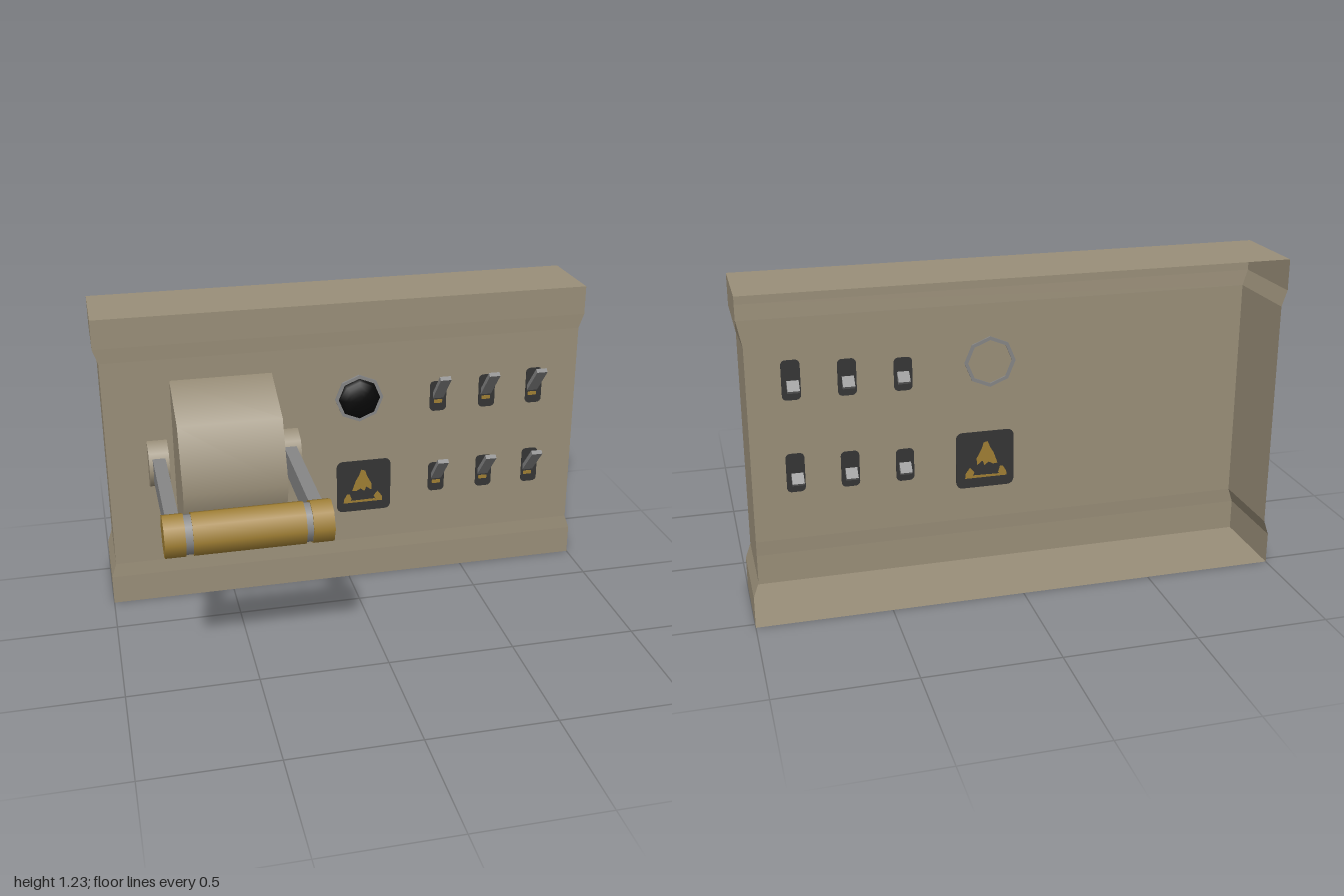
import * as THREE from 'three';

const mat = (name, color, side = THREE.FrontSide) => {
  const m = new THREE.MeshStandardMaterial({ color, side });
  m.name = name;
  return m;
};

export function createModel() {
  const root = new THREE.Group();
  root.name = 'controlPanel';
  const beige = mat('beige', 0x9a8f79, THREE.DoubleSide);
  const gold = mat('gold', 0xa07f34);
  const grey = mat('grey', 0x868686);
  const dark = mat('dark', 0x353535);
  const black = mat('black', 0x080808);

  const add = (name, geo, material, x = 0, y = 0, z = 0, parent = root) => {
    const mesh = new THREE.Mesh(geo, material);
    mesh.name = name;
    mesh.position.set(x, y, z);
    parent.add(mesh);
    return mesh;
  };

  // Open-backed case: rows of [height, half width, front z]
  const rows = [[0, 1, -0.197], [0.12, 1, -0.197], [0.178, 0.98, -0.2],
    [1.048, 0.98, -0.2], [1.108, 1, -0.197], [1.225, 1, -0.197]];
  const back = -0.525;
  const verts = [];
  const quad = (a, b, c, d) => verts.push(...a, ...b, ...c, ...a, ...c, ...d);
  const ring = ([y, w, z]) => [[-w, y, back], [-w, y, z], [w, y, z], [w, y, back]];
  for (let i = 0; i < rows.length - 1; i++) {
    const lo = ring(rows[i]), hi = ring(rows[i + 1]);
    for (let k = 0; k < 3; k++) quad(lo[k], lo[k + 1], hi[k + 1], hi[k]);
  }
  const bottom = ring(rows[0]), top = ring(rows[rows.length - 1]);
  quad(bottom[3], bottom[2], bottom[1], bottom[0]);
  quad(top[0], top[1], top[2], top[3]);
  const caseGeo = new THREE.BufferGeometry();
  caseGeo.setAttribute('position', new THREE.Float32BufferAttribute(verts, 3));
  caseGeo.computeVertexNormals();
  add('case', caseGeo, beige);

  // Half-octagon drums lying along x, bulging towards the front
  const drum = (name, x0, x1, ry, rz) => {
    const geo = new THREE.CylinderGeometry(1, 1, x1 - x0, 4, 1, false, -Math.PI / 2, Math.PI);
    geo.rotateZ(Math.PI / 2).scale(1, ry, rz);
    add(name, geo, beige, (x0 + x1) / 2, 0.614, -0.2);
  };
  drum('leverHousing', -0.715, -0.31, 0.344, 0.333);
  drum('rightPivot', -0.82, -0.74, 0.098, 0.094);
  drum('leftPivot', -0.29, -0.21, 0.098, 0.094);

  // Lever arms and the octagonal grip
  const lever = new THREE.Group();
  lever.name = 'lever';
  root.add(lever);
  for (const x of [-0.78, -0.255]) {
    add('leverArm', new THREE.BoxGeometry(0.05, 0.1, 0.58), grey, x, 0.614, 0.11, lever);
  }
  const bar = (name, x0, x1, r, m) => add(name,
    new THREE.CylinderGeometry(r, r, x1 - x0, 8).rotateZ(Math.PI / 2), m,
    (x0 + x1) / 2, 0.614, 0.447, lever);
  bar('gripEnd', -0.82, -0.745, 0.082, gold);
  bar('grip', -0.718, -0.312, 0.082, gold);
  bar('gripEnd', -0.288, -0.21, 0.082, gold);
  bar('gripCore', -0.76, -0.27, 0.076, grey);

  // Round lamp with its rim
  const lens = new THREE.SphereGeometry(0.088, 8, 6, 0, Math.PI * 2, 0, Math.PI / 2);
  add('lampLens', lens.rotateX(Math.PI / 2).scale(1, 1, 0.5), black, 0.045, 0.82, -0.198);
  const rimProfile = [[0.086, -0.008], [0.1, -0.008], [0.1, 0.008], [0.086, 0.008], [0.086, -0.008]]
    .map(([r, h]) => new THREE.Vector2(r, h));
  const rim = new THREE.LatheGeometry(rimProfile, 8).rotateX(Math.PI / 2).toNonIndexed();
  rim.computeVertexNormals();
  add('lampRim', rim, grey, 0.045, 0.82, -0.198);

  // Thin plates set through the panel, seen from both sides
  const plate = (name, shape, m, x, y, depth, parent = root) => add(name,
    new THREE.ExtrudeGeometry(shape, { depth, bevelEnabled: false, curveSegments: 3 })
      .translate(0, 0, -depth / 2), m, x, y, -0.2, parent);
  const roundedRect = (w, h, r) => {
    const s = new THREE.Shape(), a = w / 2, b = h / 2;
    s.absarc(a - r, b - r, r, 0, Math.PI / 2);
    s.absarc(-a + r, b - r, r, Math.PI / 2, Math.PI);
    s.absarc(-a + r, -b + r, r, Math.PI, Math.PI * 1.5);
    s.absarc(a - r, -b + r, r, Math.PI * 1.5, Math.PI * 2);
    return s;
  };
  const poly = (pts) => new THREE.Shape(pts.map(([x, y]) => new THREE.Vector2(x, y)));

  // Warning sign with a flame and hazard base marks
  plate('signPlate', roundedRect(0.23, 0.23, 0.025), dark, 0.065, 0.425, 0.006);
  const marks = [
    [[-0.048, -0.02], [-0.03, -0.022], [-0.012, -0.012], [0.005, -0.025], [0.012, -0.005],
      [0.034, -0.022], [0.036, 0.005], [0.015, 0.045], [0.008, 0.068], [-0.008, 0.074],
      [-0.02, 0.045], [-0.032, 0.025]],
    [[-0.085, -0.075], [-0.062, -0.075], [-0.05, -0.06], [-0.058, -0.035], [-0.07, -0.035], [-0.083, -0.058]],
    [[0.055, -0.075], [0.082, -0.075], [0.08, -0.055], [0.062, -0.03], [0.045, -0.05]],
    [[-0.062, -0.075], [0.055, -0.075], [0.05, -0.064], [-0.055, -0.066]],
  ];
  for (const pts of marks) plate('signMark', poly(pts), gold, 0.063, 0.425, 0.0085);

  // Two rows of three toggle switches
  for (const y of [0.82, 0.455]) {
    [0.38, 0.587, 0.79].forEach((x, i) => {
      const toggle = new THREE.Group();
      toggle.name = 'toggleSwitch';
      root.add(toggle);
      const h = 0.13 + i * 0.012;
      plate('togglePlate', roundedRect(0.07, h, 0.018), dark, x + 0.003 * i, y - 0.085 + h / 2, 0.006, toggle);
      plate('toggleMark', roundedRect(0.036, 0.016, 0.003), gold, x, y - 0.043, 0.0085, toggle);
      const stick = add('toggleStick', new THREE.BoxGeometry(0.045, 0.018, 0.19),
        grey, x, y + 0.022, -0.162, toggle);
      stick.rotation.x = -0.83;
    });
  }
  return root;
}
